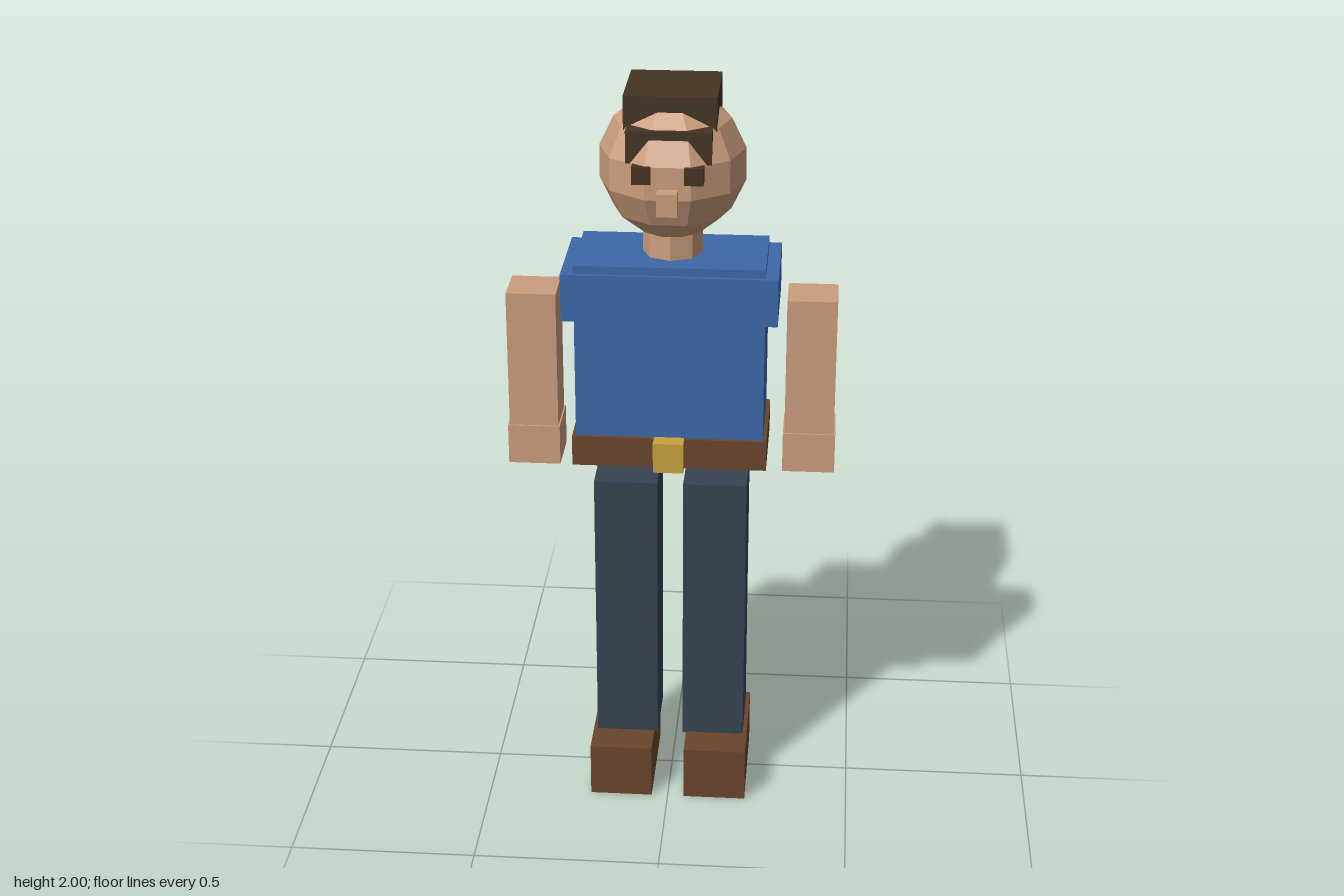
import * as THREE from 'three';

function material(name, color) {
  const m = new THREE.MeshStandardMaterial({ color, flatShading: true });
  m.name = name;
  return m;
}

export function createModel() {
  const model = new THREE.Group();
  model.name = 'figure';

  const skin = material('skin', 0xcb9d7d);
  const shirt = material('shirt blue', 0x3c69a8);
  const leather = material('leather brown', 0x6b452c);
  const trousers = material('trouser slate', 0x374351);
  const dark = material('hair brown', 0x443423);
  const brass = material('brass', 0xc8a23f);

  function add(name, geometry, mat, x, y, z) {
    const mesh = new THREE.Mesh(geometry, mat);
    mesh.name = name;
    mesh.position.set(x, y, z);
    model.add(mesh);
  }

  // Box given by its extents along each axis
  function box(name, mat, [x0, x1], [y0, y1], [z0, z1]) {
    add(name, new THREE.BoxGeometry(x1 - x0, y1 - y0, z1 - z0), mat,
      (x0 + x1) / 2, (y0 + y1) / 2, (z0 + z1) / 2);
  }

  // Mirrored pair of boxes, x extents given for the left side
  function pair(name, mat, [x0, x1], y, z) {
    box(name + 'Left', mat, [x0, x1], y, z);
    box(name + 'Right', mat, [-x1, -x0], y, z);
  }

  // Torso, shoulders and belt
  box('torso', shirt, [-0.247, 0.247], [1.04, 1.56], [-0.15, 0.11]);
  box('shoulders', shirt, [-0.28, 0.28], [1.41, 1.538], [-0.16, 0.12]);
  box('belt', leather, [-0.257, 0.257], [1.0, 1.083], [-0.157, 0.12]);
  box('buckle', brass, [-0.04, 0.04], [1.0, 1.084], [0.11, 0.153]);

  // Arms and hands
  pair('arm', skin, [0.302, 0.433], [1.05, 1.453], [-0.085, 0.045]);
  pair('hand', skin, [0.298, 0.437], [0.967, 1.077], [-0.09, 0.05]);

  // Legs and shoes
  pair('leg', trousers, [0.035, 0.205], [0.15, 0.932], [-0.115, 0.08]);
  pair('shoe', leather, [0.045, 0.216], [0, 0.153], [-0.145, 0.176]);

  // Neck and faceted head
  add('neck', new THREE.CylinderGeometry(0.078, 0.078, 0.12, 8), skin, 0, 1.59, -0.02);
  add('head', new THREE.SphereGeometry(0.193, 10, 7), skin, 0, 1.8, -0.02);

  // Face
  pair('eye', dark, [0.042, 0.09], [1.8, 1.845], [0.125, 0.167]);
  box('nose', skin, [-0.026, 0.026], [1.727, 1.786], [0.12, 0.197]);

  // Hair cap and fringe
  box('hair', dark, [-0.118, 0.118], [1.9, 2.0], [-0.16, 0.077]);
  box('fringe', dark, [-0.108, 0.108], [1.843, 1.926], [0.04, 0.131]);

  return model;
}
